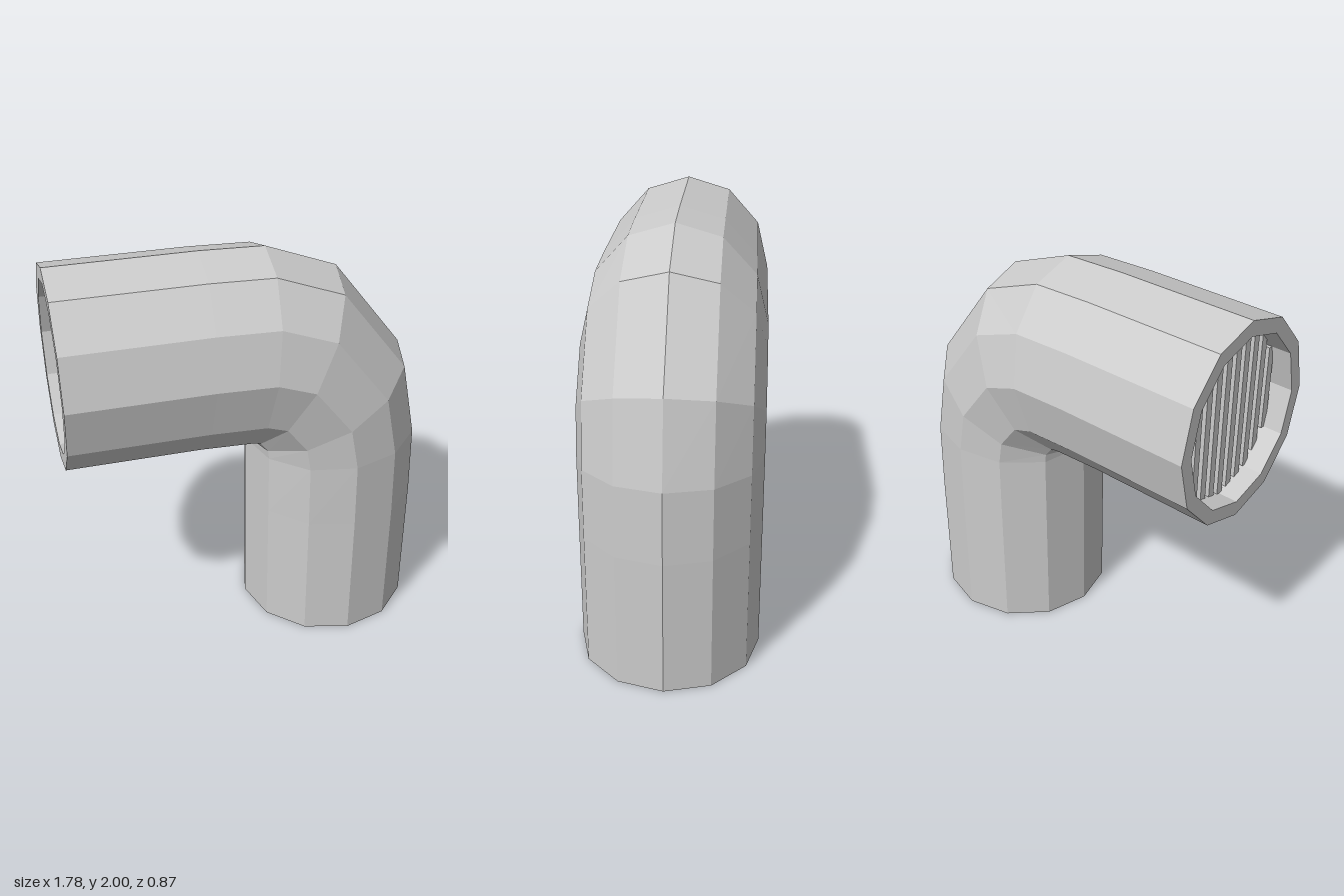
import * as THREE from 'three';

const SIDES = 12;
const HALF_DEPTH = 0.435;
const BORE = 0.85; // inner size relative to the outer size

// Stations along the pipe: centre x, y and the outermost point x, y of the bend
const STATIONS = [
  [-0.895, 1.515, -0.895, 2.0],
  [-0.23, 1.515, -0.2, 2.0],
  [0.05, 1.505, 0.11, 1.99],
  [0.23, 1.44, 0.455, 1.86],
  [0.41, 1.21, 0.8, 1.42],
  [0.45, 1.0, 0.88, 1.02],
  [0.455, 0.67, 0.89, 0.67],
  [0.455, 0, 0.89, 0],
];

// Elliptical ring of points at one station
function ring([cx, cy, ox, oy], scale) {
  return Array.from({ length: SIDES }, (_, j) => {
    const a = (j / SIDES) * Math.PI * 2;
    const c = Math.cos(a) * scale;
    return [cx + (ox - cx) * c, cy + (oy - cy) * c, HALF_DEPTH * Math.sin(a) * scale];
  });
}

// Outer wall forwards, inner wall backwards, closed at both rims
function pipeGeometry() {
  const rings = [
    ...STATIONS.map((s) => ring(s, 1)),
    ...[...STATIONS].reverse().map((s) => ring(s, BORE)),
  ];
  const pos = [];
  rings.forEach((r, i) => {
    const next = rings[(i + 1) % rings.length];
    for (let j = 0; j < SIDES; j++) {
      const k = (j + 1) % SIDES;
      pos.push(...r[j], ...r[k], ...next[k], ...r[j], ...next[k], ...next[j]);
    }
  });
  const geo = new THREE.BufferGeometry();
  geo.setAttribute('position', new THREE.Float32BufferAttribute(pos, 3));
  geo.computeVertexNormals();
  return geo;
}

export function createModel() {
  const model = new THREE.Group();
  model.name = 'ventPipe';
  const material = new THREE.MeshStandardMaterial({ color: 0xcccccc, flatShading: true });

  const pipe = new THREE.Mesh(pipeGeometry(), material);
  pipe.name = 'elbowPipe';
  model.add(pipe);

  // Upright slats recessed in the horizontal opening
  const grille = new THREE.Group();
  grille.name = 'grille';
  const count = 11, pitch = 0.064;
  for (let i = 0; i < count; i++) {
    const z = (i - (count - 1) / 2) * pitch;
    const height = 2 * 0.485 * BORE * Math.sqrt(1 - (z / (HALF_DEPTH * BORE)) ** 2);
    const slat = new THREE.Mesh(new THREE.BoxGeometry(0.04, height, 0.036), material);
    slat.name = 'slat' + (i + 1);
    slat.position.set(-0.78, 1.515, z);
    grille.add(slat);
  }
  model.add(grille);
  return model;
}
